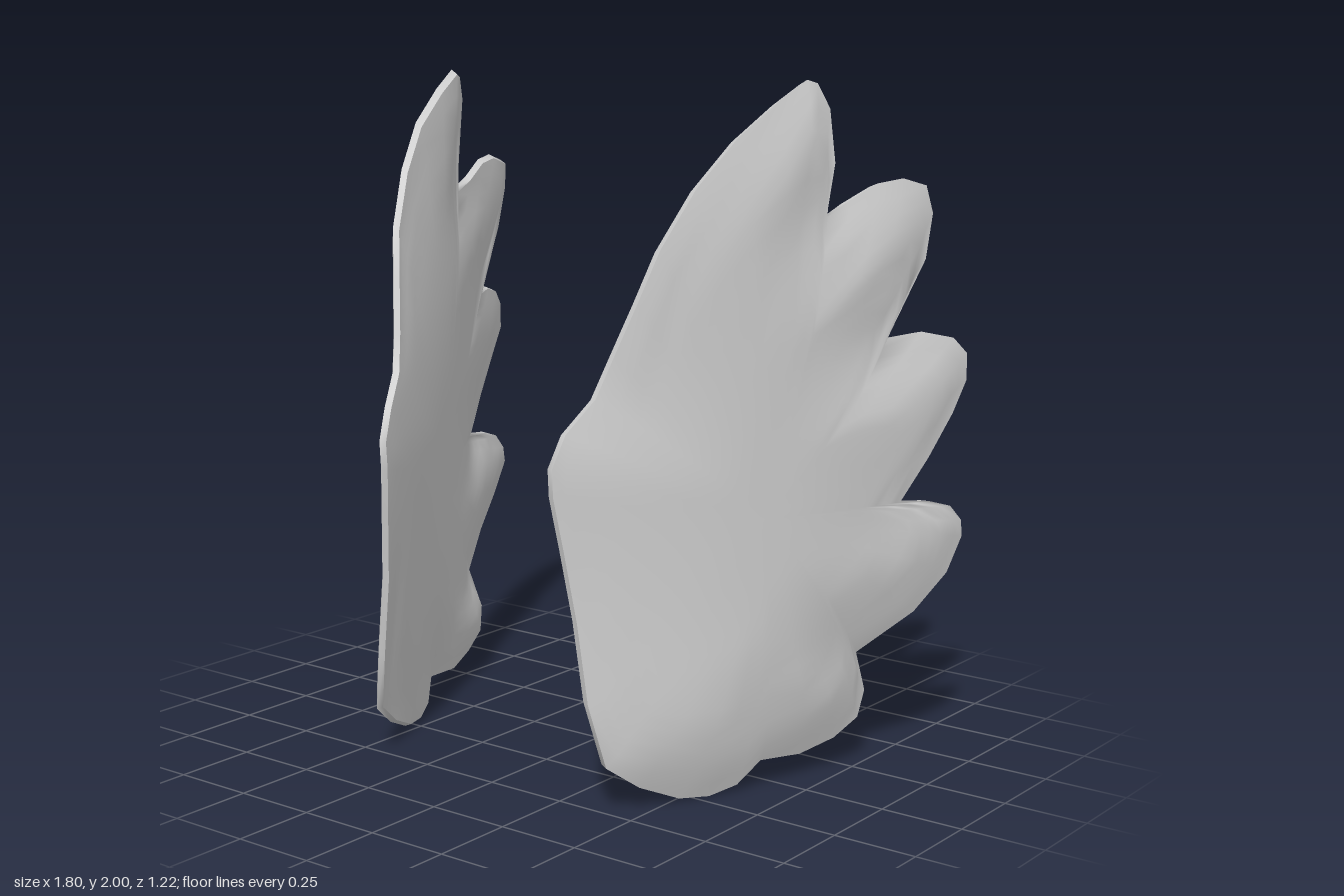
import * as THREE from 'three';

// rim of the left wing as [x, y, z], from the top tip down the feathers and back up the leading edge
const OUTLINE = [
  // feather tips and notches
  [0.64, 2.0, -0.10], [0.655, 1.99, -0.13], [0.675, 1.92, -0.165], [0.695, 1.77, -0.165], [0.685, 1.62, -0.14],
  [0.70, 1.66, -0.23], [0.735, 1.705, -0.33], [0.765, 1.715, -0.42], [0.79, 1.69, -0.51], [0.805, 1.61, -0.525],
  [0.805, 1.48, -0.49], [0.77, 1.265, -0.345],
  [0.82, 1.275, -0.45], [0.87, 1.25, -0.55], [0.89, 1.2, -0.598], [0.89, 1.12, -0.598], [0.88, 1.03, -0.54],
  [0.855, 0.91, -0.45], [0.82, 0.79, -0.355],
  [0.85, 0.775, -0.47], [0.875, 0.75, -0.55], [0.885, 0.70, -0.60], [0.885, 0.65, -0.608], [0.875, 0.55, -0.54],
  [0.835, 0.45, -0.42], [0.745, 0.35, -0.25],
  // lower edge
  [0.74, 0.22, -0.31], [0.73, 0.14, -0.29], [0.705, 0.095, -0.20], [0.665, 0.07, -0.08], [0.63, 0.085, 0.07],
  [0.59, 0.02, 0.13], [0.55, 0.0, 0.21], [0.51, 0.01, 0.30], [0.46, 0.065, 0.42], [0.42, 0.14, 0.52],
  // leading edge
  [0.38, 0.32, 0.55], [0.35, 0.55, 0.56], [0.325, 0.75, 0.585], [0.305, 0.9, 0.605], [0.305, 0.98, 0.61],
  [0.32, 1.07, 0.57], [0.36, 1.16, 0.49], [0.39, 1.27, 0.45], [0.435, 1.42, 0.40], [0.475, 1.56, 0.355],
  [0.525, 1.72, 0.26], [0.575, 1.85, 0.14], [0.615, 1.945, 0.0],
].map((p) => new THREE.Vector3(...p));
const CENTRE = new THREE.Vector3(0, 0.8, 0.1);
const RINGS = 18;

const planeX = (z) => 0.595 - 0.485 * z;
const flat = (p) => new THREE.Vector3(0, p.y, p.z);
const EDGES = OUTLINE.map((p, i) => new THREE.Line3(flat(p), flat(OUTLINE[(i + 1) % OUTLINE.length])));

// slanted plane, bent to meet the rim and puffed sideways away from it
function wingX(point, puff) {
  let bend = 0, total = 0, gap = Infinity;
  const nearest = new THREE.Vector3();
  OUTLINE.forEach((p, i) => {
    const weight = 1 / (Math.hypot(p.y - point.y, p.z - point.z) ** 3 + 1e-6);
    bend += weight * (p.x - planeX(p.z));
    total += weight;
    EDGES[i].closestPointToPoint(point, true, nearest);
    gap = Math.min(gap, nearest.distanceTo(point));
  });
  const rise = 1 - (1 - Math.min(1, gap / 0.42)) ** 2;
  return planeX(point.z) + bend / total + puff * rise;
}

// one closed ring of points at fraction t between the centre and the rim
function ring(t, offset, puff, inset) {
  return OUTLINE.map((p) => {
    const point = CENTRE.clone().lerp(flat(p), t * inset);
    point.x = wingX(point, puff) + offset;
    return point;
  });
}

// skin of quads between successive rings, mirrored when side is -1
function skin(rings, side) {
  const n = OUTLINE.length;
  const index = [];
  for (let r = 0; r < rings.length - 1; r++) {
    for (let i = 0; i < n; i++) {
      const a = r * n + i, b = r * n + (i + 1) % n, c = b + n, d = a + n;
      if (side > 0) index.push(a, b, c, a, c, d);
      else index.push(a, c, b, a, d, c);
    }
  }
  const geometry = new THREE.BufferGeometry();
  const points = rings.flat().flatMap((p) => [p.x * side, p.y, p.z]);
  geometry.setAttribute('position', new THREE.Float32BufferAttribute(points, 3));
  geometry.setIndex(index);
  geometry.computeVertexNormals();
  return geometry;
}

export function createModel() {
  const model = new THREE.Group();
  const material = new THREE.MeshStandardMaterial({ color: 0xcccccc });
  const steps = Array.from({ length: RINGS + 1 }, (_, i) => i / RINGS);

  // the outer face swells outward, the inner face slightly inward
  const outer = steps.map((t) => ring(t, 0.01, 0.085, 1));
  const inner = steps.map((t) => ring(t, -0.012, -0.03, 0.988)).reverse();
  const parts = {
    OuterFace: outer,
    Rim: [outer[RINGS], inner[0]],
    InnerFace: inner,
  };

  // matching wings on the two sides
  for (const [name, side] of [['leftWing', 1], ['rightWing', -1]]) {
    const wing = new THREE.Group();
    wing.name = name;
    for (const [part, rings] of Object.entries(parts)) {
      const mesh = new THREE.Mesh(skin(rings, side), material);
      mesh.name = name + part;
      wing.add(mesh);
    }
    model.add(wing);
  }
  return model;
}
